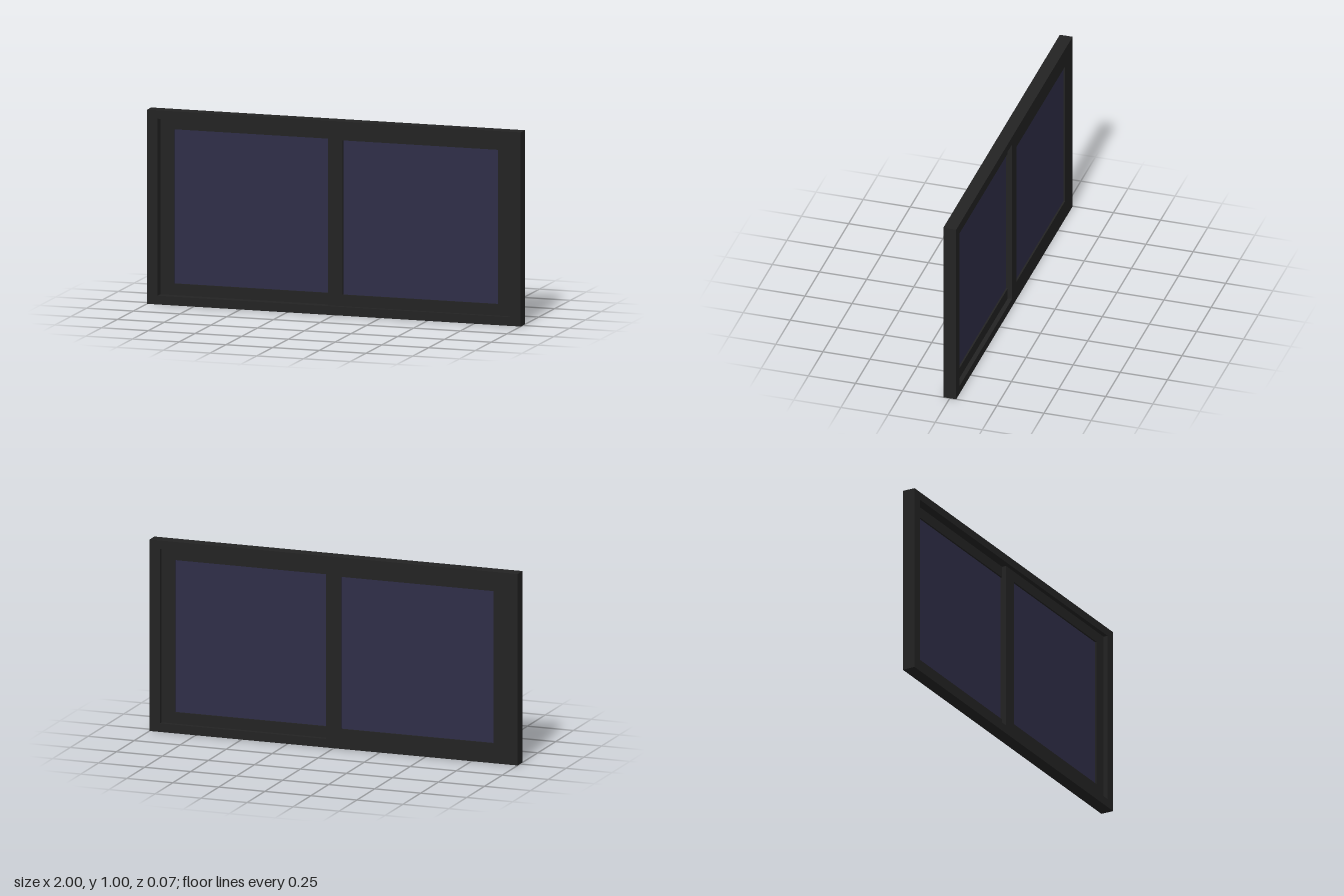
import * as THREE from 'three';

// Rectangular ring extruded from z0 to z1; boxes are [x0, y0, x1, y1]
function ring(name, outer, inner, z0, z1, material) {
  const trace = (path, [x0, y0, x1, y1]) =>
    path.moveTo(x0, y0).lineTo(x1, y0).lineTo(x1, y1).lineTo(x0, y1).closePath();
  const shape = trace(new THREE.Shape(), outer);
  shape.holes.push(trace(new THREE.Path(), inner));
  const geometry = new THREE.ExtrudeGeometry(shape, { depth: z1 - z0, bevelEnabled: false });
  geometry.translate(0, 0, z0);
  const mesh = new THREE.Mesh(geometry, material);
  mesh.name = name;
  return mesh;
}

// Sliding sash with its pane; side is +1 for the left half, -1 for the right
function sash(name, side, z0, z1, frameMat, glassMat) {
  const group = new THREE.Group();
  group.name = name;
  const span = (a, b, y0, y1) => (side > 0 ? [a, y0, b, y1] : [-b, y0, -a, y1]);
  group.add(ring(name + 'Frame', span(-0.04, 0.943, 0.045, 0.957),
    span(0.04, 0.87, 0.104, 0.899), z0, z1, frameMat));

  const pane = new THREE.Mesh(new THREE.BoxGeometry(0.83, 0.795, 0.006), glassMat);
  pane.name = name + 'Glass';
  pane.position.set(side * 0.455, 0.5015, (z0 + z1) / 2);
  group.add(pane);
  return group;
}

export function createModel() {
  const frameMat = new THREE.MeshStandardMaterial({ color: 0x232323 });
  frameMat.name = 'black frame';
  const glassMat = new THREE.MeshStandardMaterial({ color: 0x2f2e48 });
  glassMat.name = 'dark blue glass';

  const model = new THREE.Group();
  model.name = 'slidingWindow';

  // Fixed outer frame
  model.add(ring('outerFrame', [-1, 0, 1, 1], [-0.943, 0.045, 0.943, 0.957], -0.034, 0.034, frameMat));

  // Two overlapping sashes on separate tracks; the rear one is flush with the back
  model.add(sash('frontSash', 1, -0.011, 0.012, frameMat, glassMat));
  model.add(sash('rearSash', -1, -0.034, -0.011, frameMat, glassMat));
  return model;
}
